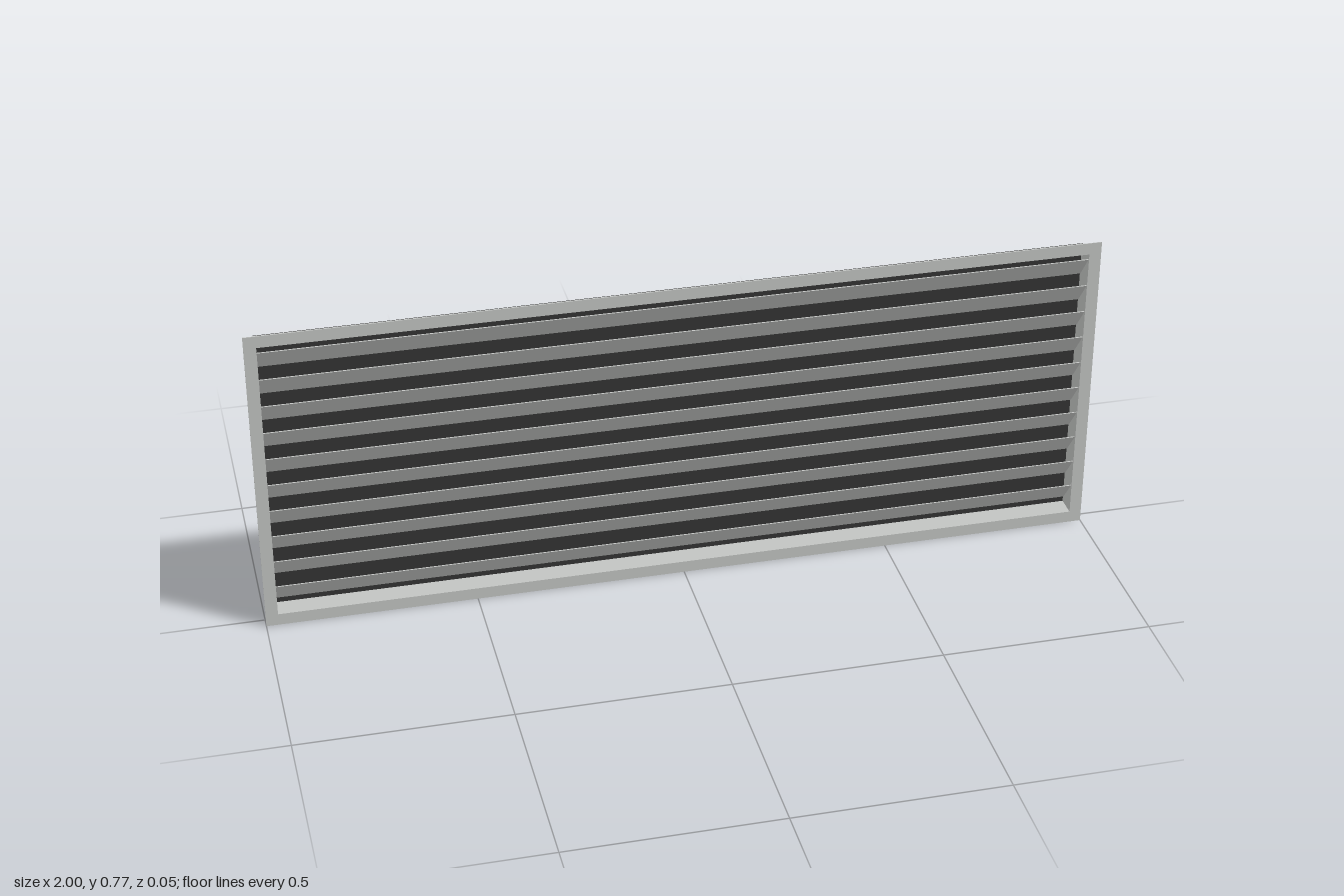
import * as THREE from 'three';

const W = 2, H = 0.768, MARGIN = 0.026, WALL = 0.003;
const FRONT = 0.0265, BACK = -0.0265, PLATE = 0.002;

// Rectangular ring extruded along z, centred on the vent
function ring(w, h, border, z0, z1, material, name) {
  const rect = (Type, a, b) => new Type([
    new THREE.Vector2(-a / 2, -b / 2), new THREE.Vector2(a / 2, -b / 2),
    new THREE.Vector2(a / 2, b / 2), new THREE.Vector2(-a / 2, b / 2),
  ]);
  const shape = rect(THREE.Shape, w, h);
  shape.holes.push(rect(THREE.Path, w - 2 * border, h - 2 * border));
  const geometry = new THREE.ExtrudeGeometry(shape, { depth: z1 - z0, bevelEnabled: false });
  const mesh = new THREE.Mesh(geometry, material);
  mesh.position.set(0, H / 2, z0);
  mesh.name = name;
  return mesh;
}

export function createModel() {
  const group = new THREE.Group();
  group.name = 'louvreVent';
  const metal = new THREE.MeshStandardMaterial({ color: 0xc2c4c2 });
  metal.name = 'light grey metal';
  const dark = new THREE.MeshStandardMaterial({ color: 0x333333 });
  dark.name = 'dark backing';

  const boxW = W - 2 * MARGIN, boxH = H - 2 * MARGIN;

  // Thin front flange and the duct sleeve behind it
  group.add(ring(W, H, MARGIN + WALL, FRONT - PLATE, FRONT, metal, 'flange'));
  group.add(ring(boxW, boxH, WALL, BACK + PLATE, FRONT - PLATE, metal, 'sleeve'));

  // Dark plate closing the back
  const back = new THREE.Mesh(new THREE.BoxGeometry(boxW, boxH, PLATE), dark);
  back.position.set(0, H / 2, BACK + PLATE / 2);
  back.name = 'backPlate';
  group.add(back);

  // Ten slats, top edge leaning forward
  const slats = new THREE.Group();
  slats.name = 'slats';
  const slatGeometry = new THREE.BoxGeometry(boxW - 2 * WALL, 0.074, 0.002);
  const count = 10, pitch = 0.069;
  for (let i = 0; i < count; i++) {
    const slat = new THREE.Mesh(slatGeometry, metal);
    slat.position.set(0, H / 2 + (i - (count - 1) / 2) * pitch, 0);
    slat.rotation.x = 0.65;
    slat.name = `slat${i + 1}`;
    slats.add(slat);
  }
  group.add(slats);
  return group;
}
